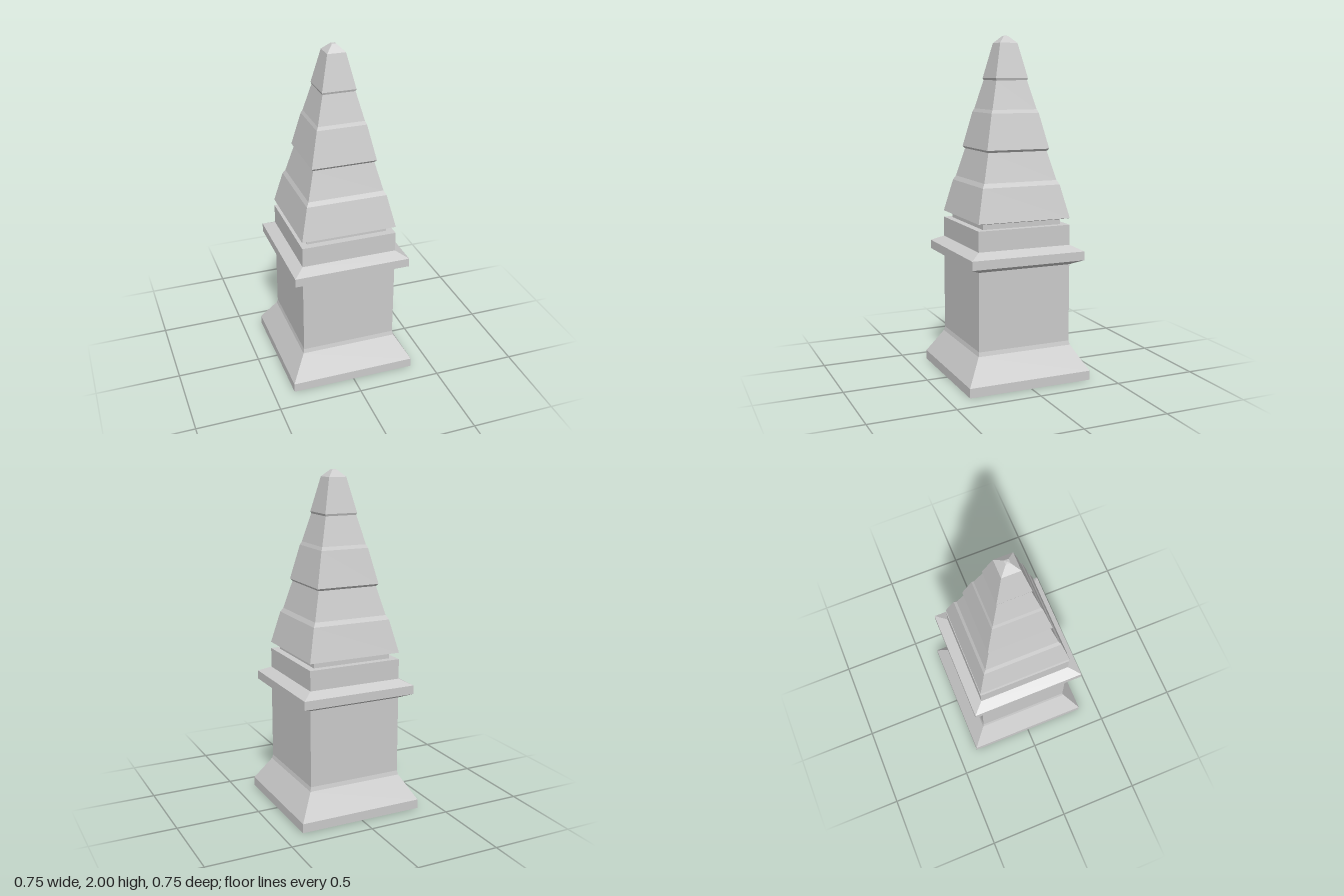
import * as THREE from 'three';

const material = new THREE.MeshStandardMaterial({ color: 0xcccccc, flatShading: true });

// Square stack of sections: profile is [half width, height] from bottom to top
function squareTurned(name, profile) {
  const points = profile.map(([w, y]) => new THREE.Vector2(w * Math.SQRT2, y));
  const geometry = new THREE.LatheGeometry(points, 4, Math.PI / 4).toNonIndexed();
  geometry.computeVertexNormals();
  const mesh = new THREE.Mesh(geometry, material);
  mesh.name = name;
  return mesh;
}

export function createModel() {
  const group = new THREE.Group();
  group.name = 'obelisk';

  group.add(
    // Flared foot and square shaft
    squareTurned('pedestal', [
      [0, 0], [0.377, 0], [0.377, 0.055], [0.29, 0.2], [0.284, 0.225], [0.284, 0.685],
    ]),
    // Projecting moulding with bevels above and below
    squareTurned('collar', [
      [0.284, 0.685], [0.348, 0.715], [0.348, 0.767], [0.284, 0.8],
    ]),
    // Plinth block and the recessed neck under the spire
    squareTurned('plinth', [
      [0.284, 0.8], [0.284, 0.918], [0.242, 0.918], [0.242, 0.947],
    ]),
    // Three tapering tiers, the lower two with a small step
    squareTurned('lowerTier', [
      [0.242, 0.947], [0.284, 0.957], [0.239, 1.15], [0.225, 1.175], [0.182, 1.342],
    ]),
    squareTurned('middleTier', [
      [0.182, 1.342], [0.193, 1.355], [0.147, 1.56], [0.138, 1.58], [0.096, 1.745],
    ]),
    squareTurned('upperTier', [
      [0.096, 1.745], [0.1, 1.757], [0.054, 1.957],
    ]),
    // Blunt pyramid cap
    squareTurned('tip', [
      [0.054, 1.957], [0.013, 1.997], [0, 2],
    ]),
  );
  return group;
}
